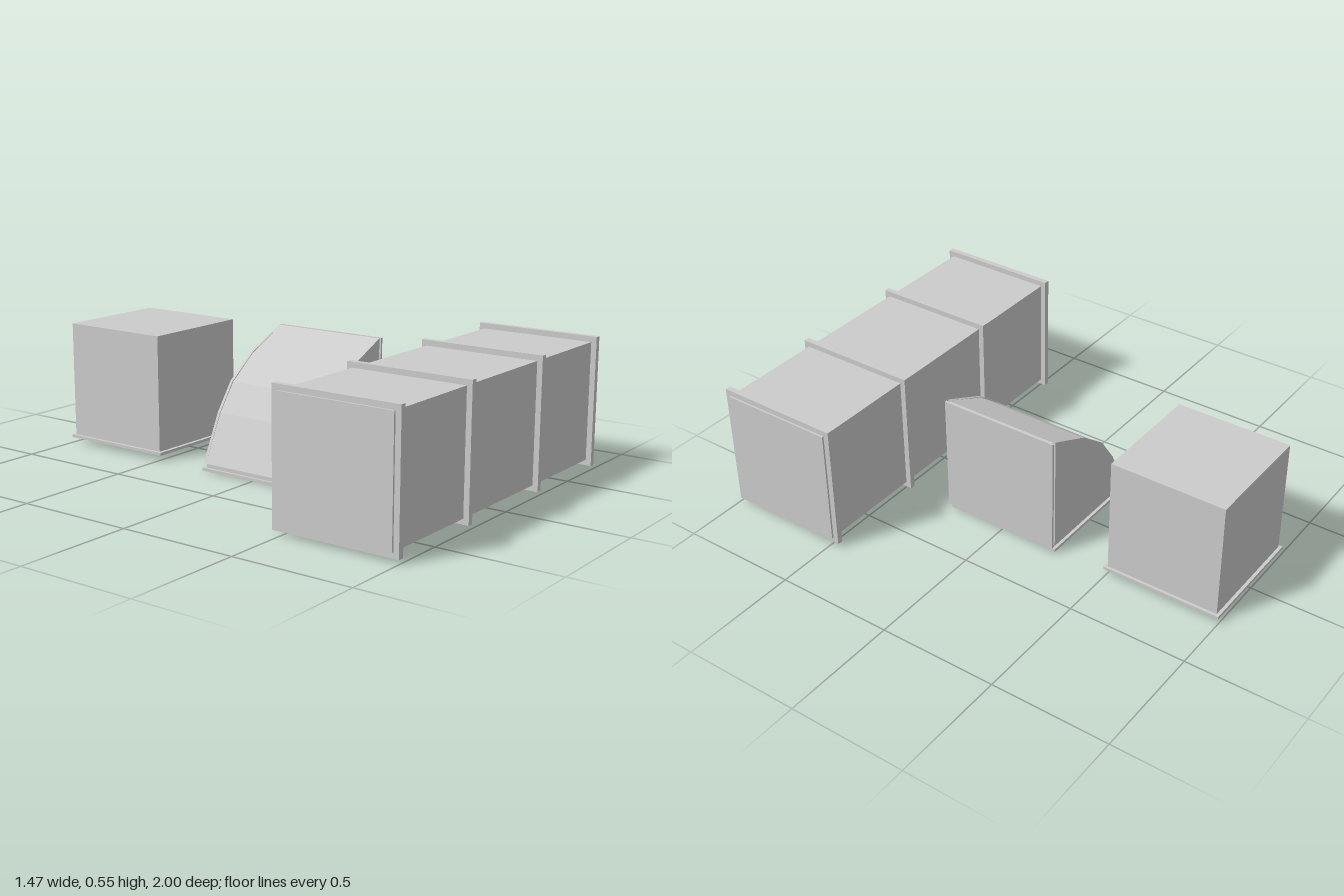
import * as THREE from 'three';

export function createModel() {
  const model = new THREE.Group();
  const grey = new THREE.MeshStandardMaterial({ color: 0xcccccc, flatShading: true, side: THREE.DoubleSide });

  const add = (name, geometry, parent, x = 0, y = 0, z = 0) => {
    const mesh = new THREE.Mesh(geometry, grey);
    mesh.name = name;
    mesh.position.set(x, y, z);
    parent.add(mesh);
    return mesh;
  };
  const box = (name, parent, w, h, d, x, y, z) =>
    add(name, new THREE.BoxGeometry(w, h, d), parent, x, y, z);
  const section = (name, z) => {
    const group = new THREE.Group();
    group.name = name;
    group.position.z = z;
    model.add(group);
    return group;
  };
  // Flat square ring lying in the xy plane, centred on its thickness
  const ring = (outer, inner, depth) => {
    const shape = new THREE.Shape();
    shape.moveTo(-outer, -outer).lineTo(outer, -outer).lineTo(outer, outer).lineTo(-outer, outer);
    const hole = new THREE.Path();
    hole.moveTo(-inner, -inner).lineTo(-inner, inner).lineTo(inner, inner).lineTo(inner, -inner);
    shape.holes.push(hole);
    return new THREE.ExtrudeGeometry(shape, { depth, bevelEnabled: false }).translate(0, 0, -depth / 2);
  };

  // Straight duct with four joint flanges
  const duct = section('straightDuct', 0.732);
  box('ductBody', duct, 1.474, 0.49, 0.49, 0, 0.284, 0);
  for (const x of [-0.717, -0.26, 0.26, 0.717]) {
    add('ductFlange', ring(0.268, 0.244, 0.024).rotateY(Math.PI / 2), duct, x, 0.284, 0);
  }

  // Quarter-turn elbow: faceted back, open side facing +x and down
  const elbow = section('elbow', 0);
  const elbowProfile = (grow) => {
    const g = grow;
    return new THREE.Shape([
      [0.255, 0.03], [0.255, 0.53], [0.06, 0.44 + g], [-0.07 - g, 0.34 + g],
      [-0.155 - g, 0.225], [-0.25, 0.03],
    ].map(([x, y]) => new THREE.Vector2(x, y)));
  };
  const slab = (grow, depth) =>
    new THREE.ExtrudeGeometry(elbowProfile(grow), { depth, bevelEnabled: false }).translate(0, 0, -depth / 2);
  add('elbowBody', slab(0, 0.49), elbow);
  for (const side of [-1, 1]) add('elbowSidePanel', slab(0.003, 0.012), elbow, 0, 0, side * 0.251);
  box('elbowBottomNeck', elbow, 0.49, 0.02, 0.49, 0, 0.022, 0);
  box('elbowBottomFlange', elbow, 0.512, 0.013, 0.516, 0, 0.0065, 0);
  box('elbowOutletNeck', elbow, 0.012, 0.49, 0.49, 0.26, 0.28, 0);
  box('elbowOutletFlange', elbow, 0.01, 0.5, 0.516, 0.27, 0.28, 0);

  // Plenum box with a louvred square diffuser underneath
  const plenum = section('plenum', -0.744);
  box('plenumBody', plenum, 0.49, 0.49, 0.486, 0, 0.282, 0);
  add('diffuserFrame', ring(0.256, 0.226, 0.012).rotateX(Math.PI / 2), plenum, 0, 0.03, 0);
  const louvres = 6;
  for (let i = 0; i < louvres; i++) {
    const half = 0.228 - i * 0.034;
    const top = half - 0.028;
    const louvre = new THREE.CylinderGeometry(top * Math.SQRT2, half * Math.SQRT2, 0.014, 4, 1, true)
      .rotateY(Math.PI / 4);
    add('diffuserLouvre', louvre, plenum, 0, 0.03 - i * 0.0016, 0);
  }
  box('diffuserCentre', plenum, 0.06, 0.012, 0.06, 0, 0.02, 0);

  return model;
}
